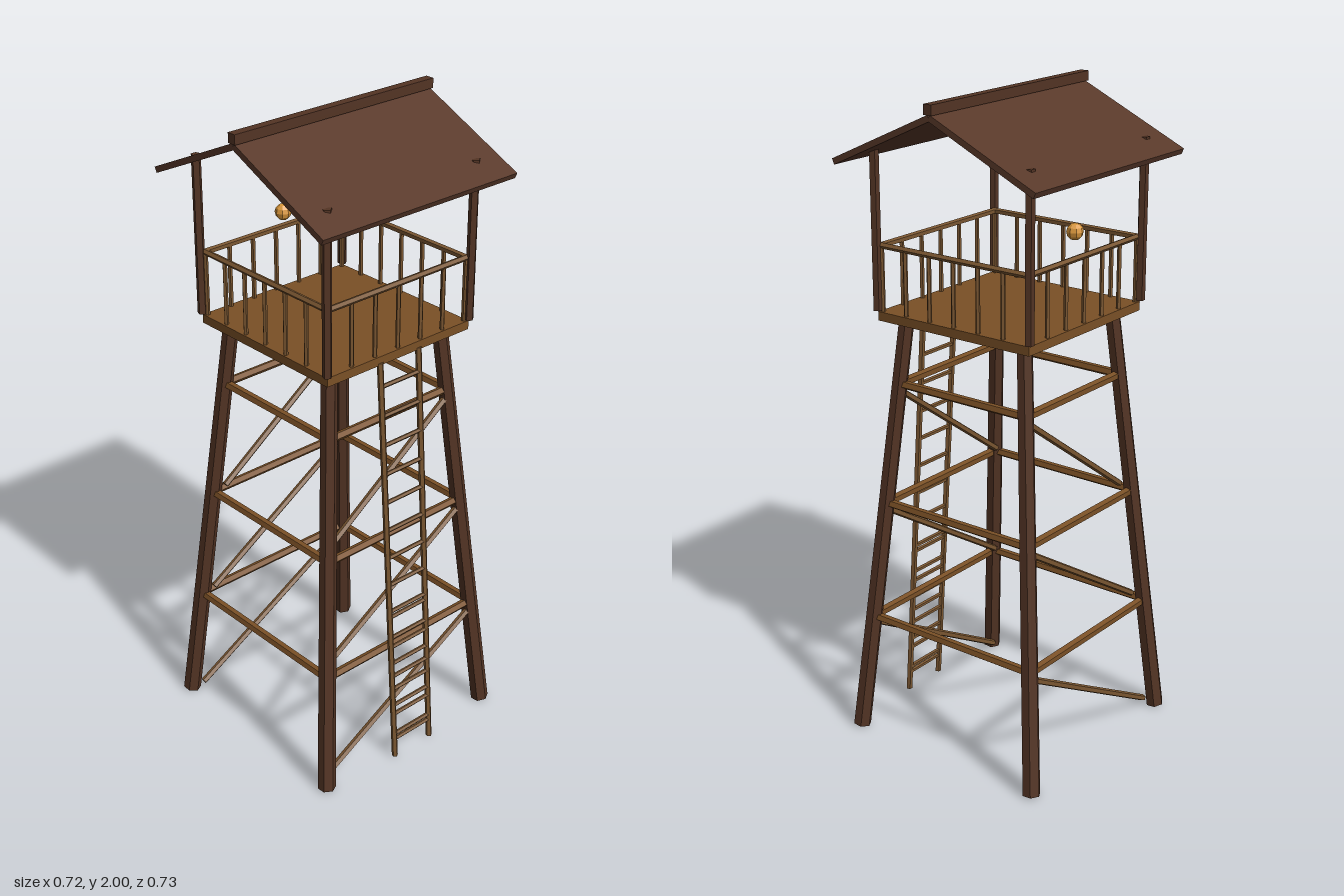
import * as THREE from 'three';
import { toCreasedNormals } from 'three/addons/utils/BufferGeometryUtils.js';

const mat = (name, color) => {
  const m = new THREE.MeshStandardMaterial({ color });
  m.name = name;
  return m;
};

export function createModel() {
  const tower = new THREE.Group();
  tower.name = 'watchtower';
  const logWood = mat('dark log wood', 0x533424);
  const roofWood = mat('roof wood', 0x59392a);
  const plankWood = mat('plank wood', 0x7a5026);
  const poleWood = mat('pole wood', 0x7a5631);
  const lampGlow = mat('lamp amber', 0xd9963a);

  // the tower axis sits slightly behind the middle because the ladder leans out in front
  const body = new THREE.Group();
  body.name = 'towerBody';
  body.position.z = -0.009;
  tower.add(body);

  const add = (name, geo, material, parent = body) => {
    const m = new THREE.Mesh(toCreasedNormals(geo, 0.3), material);
    m.name = name;
    parent.add(m);
    return m;
  };
  const up = new THREE.Vector3(0, 1, 0);
  // faceted pole between two points
  const pole = (name, a, b, r, material, parent = body, sides = 5, rTop = r) => {
    const p = new THREE.Vector3(...a), q = new THREE.Vector3(...b);
    const d = q.clone().sub(p);
    const m = add(name, new THREE.CylinderGeometry(rTop, r, d.length(), sides), material, parent);
    m.position.copy(p).add(q).multiplyScalar(0.5);
    m.quaternion.setFromUnitVectors(up, d.normalize());
    return m;
  };

  // legs, leaning inwards
  const spread = (y) => 0.334 - 0.12 * (y / 1.34);
  for (const sx of [-1, 1]) for (const sz of [-1, 1]) {
    const b = spread(0), t = spread(1.34);
    pole('leg', [sx * b, 0.003, sz * b], [sx * t, 1.338, sz * t], 0.028, logWood, body, 6, 0.024);
  }

  // horizontal beams on four sides, diagonal braces on front and back
  const levels = [0, 0.381, 0.759, 1.137];
  for (let i = 1; i < levels.length; i++) {
    const y = levels[i], y0 = levels[i - 1], s = spread(y);
    for (const k of [-1, 1]) {
      pole('crossBeam', [-s, y, k * s], [s, y, k * s], 0.0135, plankWood);
      pole('crossBeam', [k * s, y, -s], [k * s, y, s], 0.0135, plankWood);
      const z = k * ((s + spread(y0)) / 2 - 0.01);
      pole('diagonalBrace', [-spread(y0) + 0.028, y0 + 0.024, z], [s - 0.01, y - 0.025, z], 0.0105, poleWood);
    }
  }

  // platform
  add('platform', new THREE.BoxGeometry(0.545, 0.027, 0.545), plankWood).position.y = 1.347;

  // railing: one side, turned four times
  for (let side = 0; side < 4; side++) {
    const railing = new THREE.Group();
    railing.name = 'railing';
    railing.rotation.y = side * Math.PI / 2;
    body.add(railing);
    pole('handrail', [-0.265, 1.557, 0.262], [0.265, 1.557, 0.262], 0.0095, poleWood, railing);
    for (let i = -3; i < 3; i++) {
      const x = i * 0.0873;
      pole('baluster', [x, 1.36, 0.262], [x, 1.557, 0.262], 0.007, poleWood, railing);
    }
  }

  // roof posts, whose tips just come through the roof
  for (const sx of [-1, 1]) for (const sz of [-1, 1])
    pole('roofPost', [sx * 0.273, 1.365, sz * 0.273], [sx * 0.273, 1.85, sz * 0.273], 0.0145, logWood);

  // two roof slopes and the ridge beam
  const run = 0.35, drop = 0.16;
  for (const k of [-1, 1]) {
    const slope = add('roofSlope', new THREE.BoxGeometry(0.713, 0.018, Math.hypot(run, drop)), roofWood);
    slope.position.set(0, 1.963 - drop / 2, k * run / 2);
    slope.rotation.x = k * Math.atan2(drop, run);
  }
  add('ridgeBeam', new THREE.BoxGeometry(0.722, 0.029, 0.028), logWood).position.y = 1.9855;

  // lamp
  add('lamp', new THREE.SphereGeometry(0.025, 8, 6), lampGlow).position.set(0, 1.62, -0.227);

  // leaning ladder
  const ladder = new THREE.Group();
  ladder.name = 'ladder';
  tower.add(ladder);
  const ladderZ = (y) => 0.353 - 0.092 * (y / 1.34);
  for (const k of [-1, 1])
    pole('ladderRail', [k * 0.074, 0.001, ladderZ(0)], [k * 0.074, 1.34, ladderZ(1.34)], 0.0098, poleWood, ladder);
  const rung = (y) => pole('rung', [-0.074, y, ladderZ(y)], [0.074, y, ladderZ(y)], 0.007, poleWood, ladder);
  for (let i = 0; i < 14; i++) rung(0.063 + i * 0.0925);
  // extra rungs near the ground
  for (let i = 0; i < 5; i++) rung(0.082 + i * 0.106);

  return tower;
}
